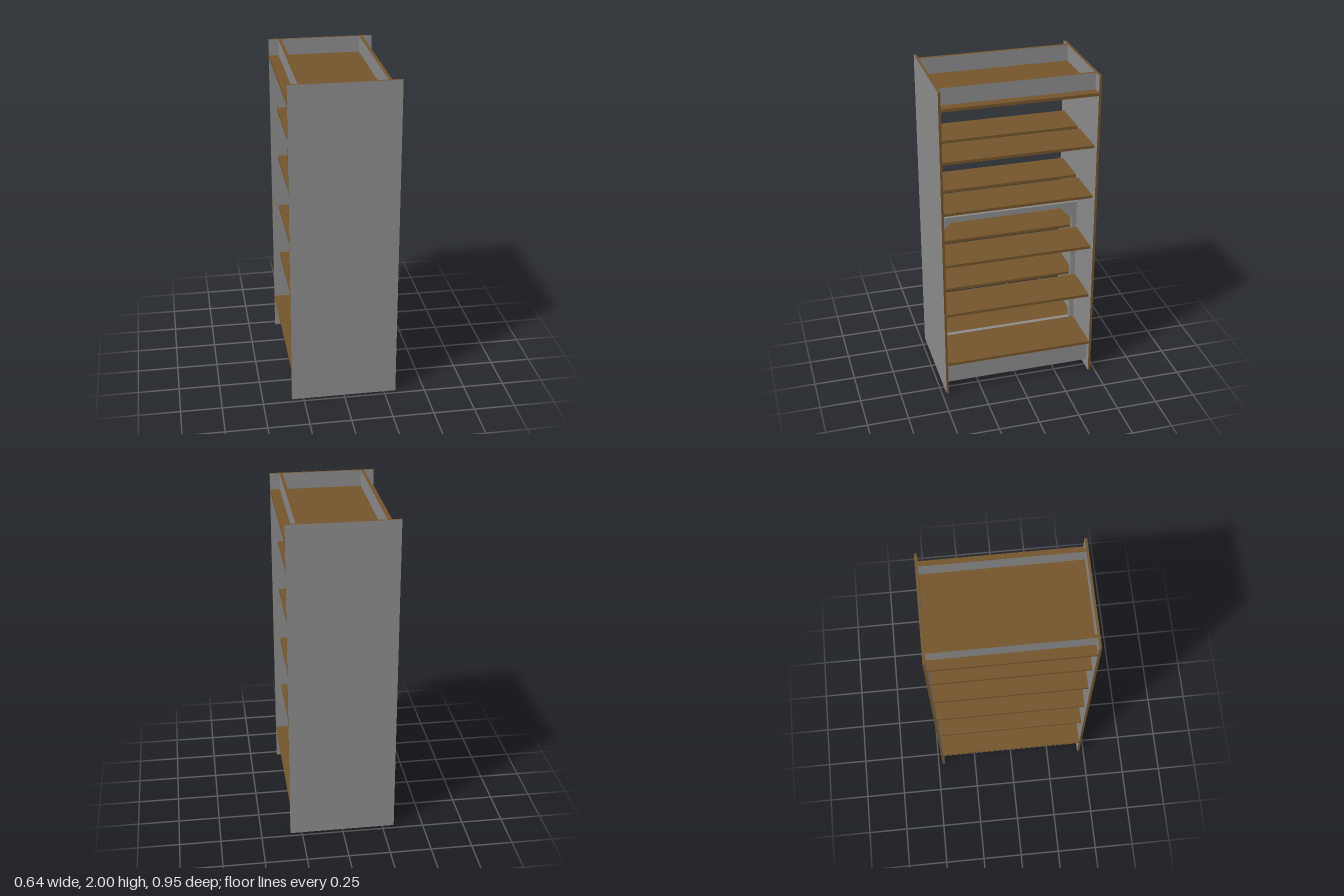
import * as THREE from 'three';

const paint = (name, color) => {
  const m = new THREE.MeshStandardMaterial({ color });
  m.name = name;
  return m;
};

export function createModel() {
  const grey = paint('grey laminate', 0x8c8c8c);
  const wood = paint('brown wood', 0x75552c);
  const dark = paint('dark base', 0x3c342c);
  const group = new THREE.Group();
  group.name = 'doubleSidedBookcase';

  const add = (name, geometry, material, x = 0, y = 0, z = 0) => {
    const mesh = new THREE.Mesh(geometry, material);
    mesh.name = name;
    mesh.position.set(x, y, z);
    group.add(mesh);
    return mesh;
  };
  // Box placed by its lower and upper height
  const slab = (name, x, w, y0, y1, z, d, material) =>
    add(name, new THREE.BoxGeometry(w, y1 - y0, d), material, x, (y0 + y1) / 2, z);
  // Outline in x and y, extruded along the length of the bookcase
  const inner = 0.458;
  const extrudeAlongZ = (points) => {
    const shape = new THREE.Shape(points.map(([x, y]) => new THREE.Vector2(x, y)));
    return new THREE.ExtrudeGeometry(shape, { depth: inner * 2, bevelEnabled: false })
      .translate(0, 0, -inner);
  };

  // End panels: grey faces with wooden edging all round
  for (const s of [1, -1]) {
    slab('endPanel', 0, 0.644, 0, 2, s * 0.4655, 0.015, [wood, wood, wood, wood, grey, grey]);
  }

  // Full-width top and bottom shelves
  const thick = 0.018;
  slab('topShelf', 0, 0.644, 1.9 - thick, 1.9, 0, inner * 2, wood);
  slab('bottomShelf', 0, 0.644, 0.222 - thick, 0.222, 0, inner * 2, wood);

  // Boards standing on the top shelf, with wooden upper edges
  for (const s of [1, -1]) {
    slab('topBoard', s * 0.252, 0.02, 1.9, 2, 0, inner * 2, [grey, grey, wood, wood, grey, grey]);
  }

  // Plinth set back under the bottom shelf
  slab('plinth', 0, 0.566, 0.06, 0.222 - thick, 0, inner * 2, [grey, grey, grey, dark, grey, grey]);

  // Shallow folded stiffener under each shelf, and the split middle shelves
  const tray = extrudeAlongZ([[0.05, 0], [0.09, -0.014], [0.21, -0.014], [0.25, 0]]);
  for (const s of [1, -1]) {
    for (const top of [0.547, 0.89, 1.235, 1.56]) {
      slab('shelf', s * 0.15, 0.26, top - thick, top, 0, inner * 2, wood);
    }
    for (const top of [0.547, 0.89, 1.235, 1.56, 1.9]) {
      const stiffener = add('shelfStiffener', tray, grey, 0, top - thick);
      if (s < 0) stiffener.rotation.y = Math.PI;
    }
  }

  // Central support frame with cut-off upper corners in its opening
  const outline = new THREE.Shape([
    [-inner, 0.222], [inner, 0.222], [inner, 1.065], [-inner, 1.065],
  ].map(([z, y]) => new THREE.Vector2(z, y)));
  outline.holes.push(new THREE.Path([
    [-0.427, 0.223], [-0.427, 0.95], [-0.35, 1.03], [0.35, 1.03], [0.427, 0.95], [0.427, 0.223],
  ].map(([z, y]) => new THREE.Vector2(z, y))));
  const frame = new THREE.ExtrudeGeometry(outline, { depth: 0.026, bevelEnabled: false })
    .translate(0, 0, -0.013)
    .rotateY(-Math.PI / 2);
  add('centreFrame', frame, grey);

  return group;
}
